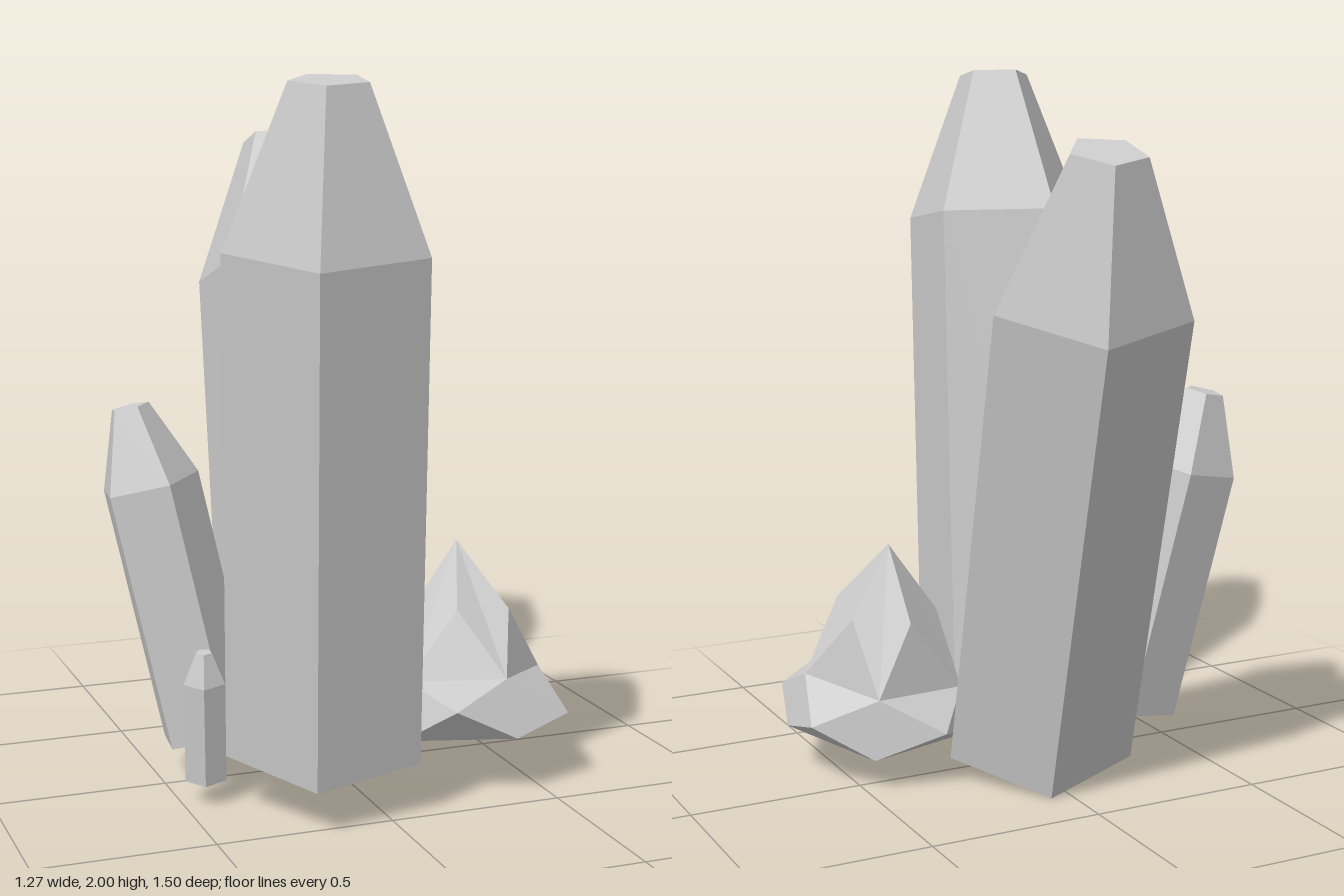
import * as THREE from 'three';

const UP = new THREE.Vector3(0, 1, 0);
const material = () => new THREE.MeshStandardMaterial({ color: 0xcccccc, flatShading: true });

// Five-sided prism with a tapered, blunt tip, leaning from base to tip.
// angle: heading of one corner in degrees, from +x towards +z.
function crystal(name, base, tip, radius, angle) {
  const from = new THREE.Vector3(...base);
  const axis = new THREE.Vector3(...tip).sub(from);
  const length = axis.length();
  const profile = [
    [0, 0], [radius, 0], [radius, length * 0.767], [radius * 0.385, length], [0, length],
  ].map(([r, y]) => new THREE.Vector2(r, y));
  const geometry = new THREE.LatheGeometry(profile, 5, THREE.MathUtils.degToRad(90 - angle));
  const mesh = new THREE.Mesh(geometry, material());
  mesh.name = name;
  mesh.position.copy(from);
  mesh.quaternion.setFromUnitVectors(UP, axis.normalize());
  return mesh;
}

// Squat faceted stone: an apex and four five-corner rings, each running
// front -> right -> back -> left.
function stone() {
  const apex = [0.36, 0.668, 0.1];
  const spire = [[0.457, 0.49, 0.255], [0.49, 0.47, 0.06], [0.345, 0.46, -0.02], [0.213, 0.46, 0.097], [0.295, 0.5, 0.255]];
  const knee = [[0.395, 0.322, 0.38], [0.588, 0.29, 0.187], [0.46, 0.26, -0.057], [0.185, 0.25, -0.01], [0.142, 0.305, 0.258]];
  const rim = [[0.585, 0.205, 0.39], [0.635, 0.185, 0.02], [0.295, 0.165, -0.15], [0.1, 0.16, 0.13], [0.21, 0.265, 0.455]];
  const foot = [[0.395, 0.17, 0.455], [0.633, 0.13, 0.22], [0.48, 0.09, -0.07], [0.14, 0.105, 0], [0.105, 0.15, 0.31]];

  const corners = [];
  const tri = (...points) => points.forEach((p) => corners.push(...p));
  for (let i = 0; i < 5; i++) {
    const j = (i + 1) % 5;
    // kite-shaped facets of the peak
    tri(apex, spire[i], knee[j]);
    tri(apex, knee[j], spire[j]);
    tri(spire[i], knee[i], knee[j]);
    // flared belt
    tri(knee[i], rim[i], knee[j]);
    tri(knee[i], foot[i], rim[i]);
    tri(rim[i], foot[j], knee[j]);
    // undercut and underside
    tri(rim[i], foot[i], foot[j]);
    if (i > 0 && i < 4) tri(foot[0], foot[j], foot[i]);
  }
  const geometry = new THREE.BufferGeometry();
  geometry.setAttribute('position', new THREE.Float32BufferAttribute(corners, 3));
  geometry.computeVertexNormals();
  const mesh = new THREE.Mesh(geometry, material());
  mesh.name = 'facetedStone';
  return mesh;
}

export function createModel() {
  const group = new THREE.Group();
  group.name = 'crystalCluster';
  group.add(
    crystal('frontCrystal', [-0.121, 0.162, 0.299], [-0.204, 1.987, 0.554], 0.281, 42.5),
    crystal('backCrystal', [-0.023, 0.08, -0.087], [0.059, 1.81, -0.624], 0.277, 0),
    crystal('sideCrystal', [-0.36, 0.13, -0.028], [-0.555, 1.077, -0.125], 0.148, 8),
    crystal('tinyCrystal', [-0.43, 0.065, 0.175], [-0.445, 0.44, 0.215], 0.06, 36),
    stone(),
  );
  return group;
}
